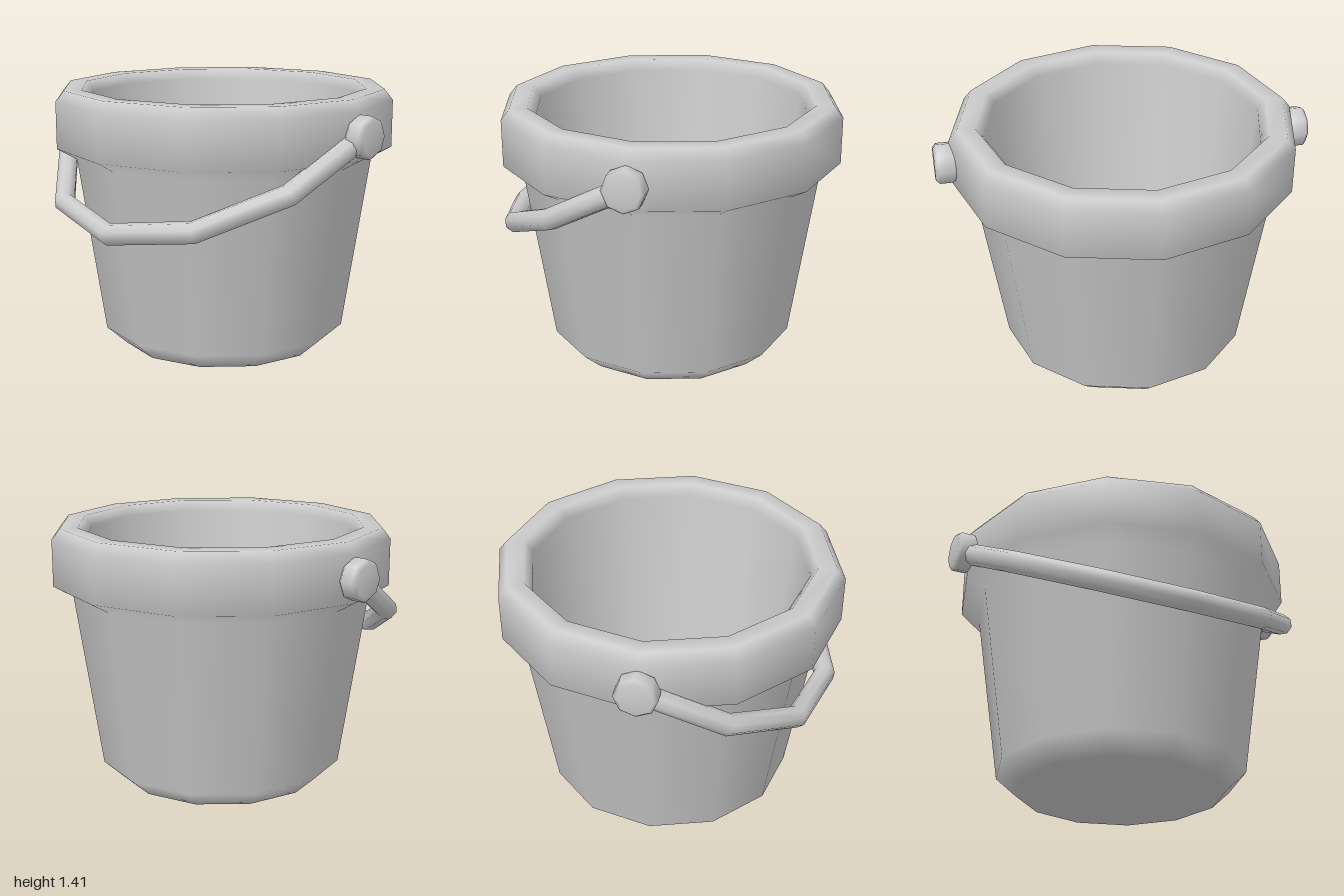
import * as THREE from 'three';

const PIVOT_Y = 1.235;

// Turns [radius, height] pairs into a lathed solid
function lathe(points, sides) {
  return new THREE.LatheGeometry(points.map(([r, y]) => new THREE.Vector2(r, y)), sides);
}

// Half ellipse hanging from the two pivots, tilted forward
class HandleArc extends THREE.Curve {
  getPoint(t, target = new THREE.Vector3()) {
    const a = Math.PI * t;
    const s = Math.sin(a);
    return target.set(-0.93 * Math.cos(a), PIVOT_Y - 0.495 * s, 0.855 * s);
  }
}

export function createModel() {
  const model = new THREE.Group();
  model.name = 'bucket';
  const material = new THREE.MeshStandardMaterial({ color: 0xcccccc });

  const add = (name, geometry, parent = model) => {
    const mesh = new THREE.Mesh(geometry, material);
    mesh.name = name;
    parent.add(mesh);
    return mesh;
  };

  // Tapered twelve-sided shell: outside, thick rim, then the inside down to the floor
  add('bucketShell', lathe([
    [0, 0], [0.56, 0], [0.67, 0.1], [0.81, 1.05],
    [0.915, 1.11], [0.915, 1.36], [0.87, 1.415],
    [0.775, 1.415], [0.735, 1.36], [0.6, 0.14], [0.53, 0.1], [0, 0.1],
  ], 12));

  // Octagonal pivot knobs with chamfered ends
  for (const side of [1, -1]) {
    const knob = add(side > 0 ? 'leftPivotKnob' : 'rightPivotKnob', lathe([
      [0, 0.84], [0.09, 0.84], [0.09, 0.89], [0.11, 0.91],
      [0.11, 0.98], [0.09, 1], [0, 1],
    ], 8));
    knob.rotation.z = -side * Math.PI / 2;
    knob.position.y = PIVOT_Y;
  }

  // Swinging handle in six straight pieces, with closed ends
  const handle = new THREE.Group();
  handle.name = 'handle';
  model.add(handle);
  const arc = new HandleArc();
  add('handleBar', new THREE.TubeGeometry(arc, 6, 0.057, 8, false), handle);
  for (const t of [0, 1]) {
    const cap = add(t ? 'leftHandleEnd' : 'rightHandleEnd', new THREE.CircleGeometry(0.057, 8), handle);
    const outward = arc.getTangent(t).multiplyScalar(t ? 1 : -1);
    cap.position.copy(arc.getPoint(t));
    cap.quaternion.setFromUnitVectors(new THREE.Vector3(0, 0, 1), outward);
  }

  return model;
}
